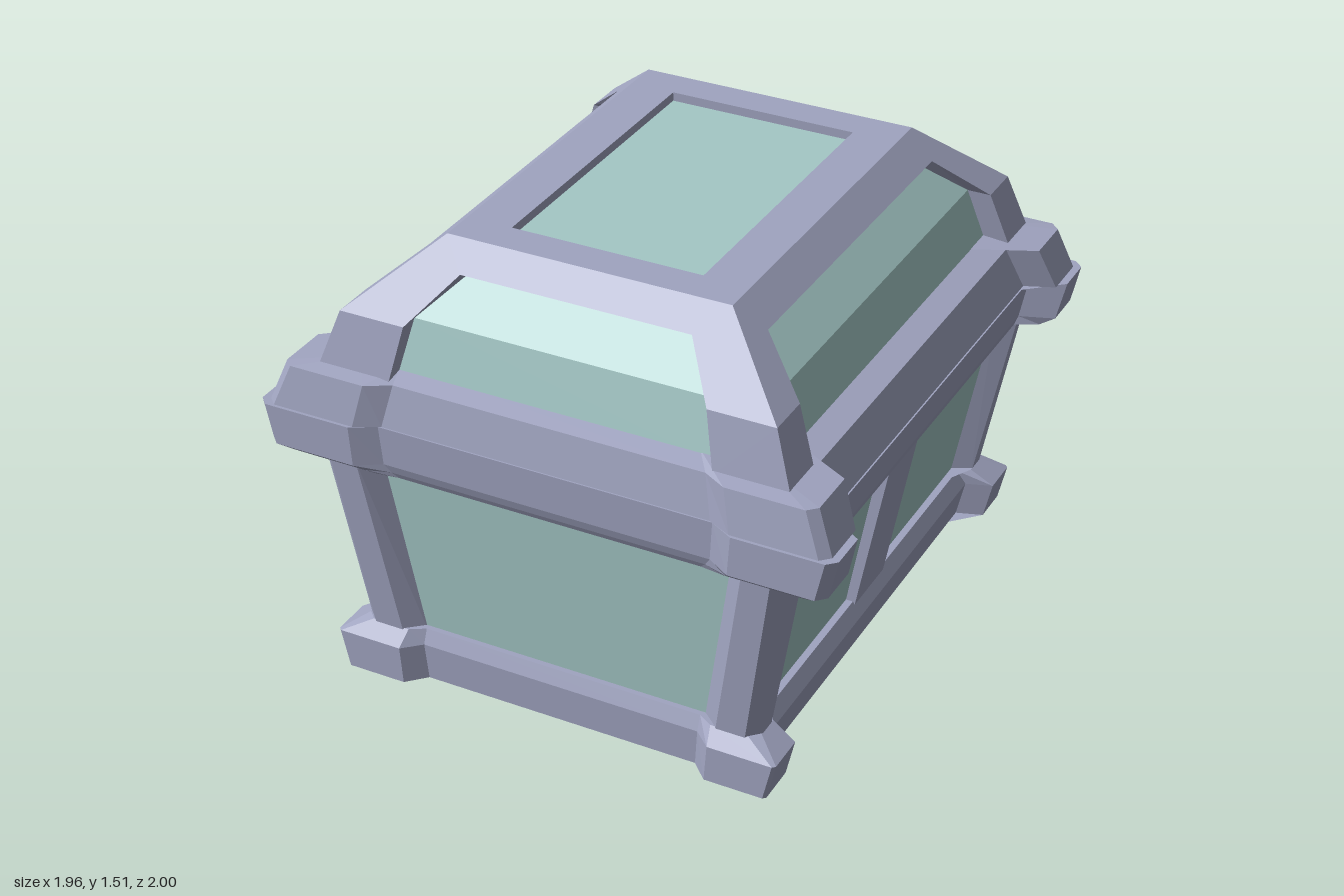
import * as THREE from 'three';

const frameMat = new THREE.MeshStandardMaterial({ color: 0xa0a4c0, flatShading: true, side: THREE.DoubleSide });
const panelMat = new THREE.MeshStandardMaterial({ color: 0xa4c8c6, flatShading: true, side: THREE.DoubleSide });

// Quads between neighbouring polylines; pick chooses which segments to keep
function stripMesh(name, mat, rows, closed = false, pick = () => true) {
  const pos = [];
  for (let r = 0; r + 1 < rows.length; r++) {
    const A = rows[r], B = rows[r + 1], n = A.length;
    for (let i = 0; i < (closed ? n : n - 1); i++) {
      if (!pick(i)) continue;
      const j = (i + 1) % n;
      pos.push(...A[i], ...B[i], ...B[j], ...A[i], ...B[j], ...A[j]);
    }
  }
  const geo = new THREE.BufferGeometry();
  geo.setAttribute('position', new THREE.Float32BufferAttribute(pos, 3));
  geo.computeVertexNormals();
  const mesh = new THREE.Mesh(geo, mat);
  mesh.name = name;
  return mesh;
}

// Plan outline at height y: corner blocks reach (X, Z), the sides between sit back at ix, iz.
// sx, sz: where a block starts; c: corner chamfer; dx, dz: run of the slanted block ends
function outline(y, X, Z, sx, sz, ix, iz, c = 0.03, dx = 0.08, dz = 0.04) {
  const q = [[sx - dx, iz], [sx, Z], [X - c, Z], [X, Z - c], [X, sz], [ix, sz - dz]];
  const rev = [...q].reverse();
  return [
    ...q.map(([x, z]) => [x, y, z]),
    ...rev.map(([x, z]) => [x, y, -z]),
    ...q.map(([x, z]) => [-x, y, -z]),
    ...rev.map(([x, z]) => [-x, y, z]),
  ];
}
const rect = (y, x, z) => outline(y, x, z, 0.8 * x, 0.8 * z, x, z, 0);

// Left half of an arch of [along, y, out] points, completed by mirroring
const arch = (pts) => [
  ...pts.map(([a, y, o]) => [-a, y, o]),
  ...[...pts].reverse().map(([a, y, o]) => [a, y, o]),
];

// One lid side facing +z: outer edge, window edge, recessed window pane
function lidSide(name, outer, open, inner) {
  const g = new THREE.Group();
  g.name = name;
  g.add(stripMesh('lidRibs', frameMat, [arch(outer), arch(open), arch(inner)]));
  const rows = [...inner].reverse().map(([a, y, o]) => [[-a, y, o], [a, y, o]]);
  g.add(stripMesh('lidPane', panelMat, rows));
  return g;
}

export function createModel() {
  const chest = new THREE.Group();
  chest.name = 'chest';

  // Base with corner feet and a recessed underside
  chest.add(stripMesh('base', frameMat, [
    rect(0.18, 0.6, 0.8),
    outline(0.18, 0.7, 0.9, 0.54, 0.79, 0.66, 0.87, 0.03, 0.05, 0.03),
    outline(0.13, 0.78, 0.945, 0.55, 0.8, 0.69, 0.89, 0.01, 0.06, 0.03),
    outline(0, 0.75, 0.945, 0.54, 0.8, 0.66, 0.885, 0.01, 0.06, 0.03),
    rect(0, 0.55, 0.74),
    rect(0.04, 0.55, 0.74),
  ], true));
  const floor = new THREE.Mesh(new THREE.BoxGeometry(1.12, 0.02, 1.5), panelMat);
  floor.name = 'floorPanel';
  floor.position.y = 0.04;
  chest.add(floor);

  // Tapered body: corner posts and the panels between them
  const body = [
    outline(0.82, 0.82, 0.952, 0.665, 0.85, 0.75, 0.89, 0.06, 0.06, 0.04),
    outline(0.15, 0.695, 0.902, 0.555, 0.8, 0.63, 0.85, 0.04, 0.06, 0.035),
  ];
  chest.add(stripMesh('cornerPosts', frameMat, body, true, (i) => i % 6 !== 5));
  chest.add(stripMesh('bodyPanels', panelMat, body, true, (i) => i % 6 === 5));

  // Upright strap in the middle of each long side
  for (const s of [1, -1]) {
    const row = (y, x) => [[x - 0.08, y, 0.113], [x, y, 0.113], [x, y, -0.113], [x - 0.08, y, -0.113]];
    const strap = stripMesh('sideStrap', frameMat, [row(0.8, 0.785), row(0.16, 0.665)]);
    strap.rotation.y = s > 0 ? 0 : Math.PI;
    chest.add(strap);
  }

  // Lower rim
  chest.add(stripMesh('bodyRim', frameMat, [
    rect(0.965, 0.8, 0.9),
    outline(0.965, 0.98, 1.0, 0.65, 0.84, 0.86, 0.955),
    outline(0.83, 0.95, 1.0, 0.64, 0.83, 0.835, 0.95),
    outline(0.8, 0.9, 0.965, 0.62, 0.82, 0.825, 0.94),
    outline(0.78, 0.8, 0.94, 0.6, 0.81, 0.81, 0.93),
    rect(0.78, 0.7, 0.85),
  ], true));

  // Lid rim
  chest.add(stripMesh('lidRim', frameMat, [
    rect(1.125, 0.69, 0.84),
    outline(1.105, 0.9, 0.965, 0.61, 0.765, 0.8, 0.92),
    outline(0.965, 0.955, 0.99, 0.64, 0.8, 0.855, 0.95),
  ], true));

  // Lid sides, each pair built once and turned round
  for (const turn of [0, Math.PI]) {
    const end = lidSide('lidEnd',
      [[0.8, 1.1, 0.915], [0.735, 1.29, 0.875], [0.48, 1.51, 0.65]],
      [[0.55, 1.1, 0.915], [0.51, 1.29, 0.875], [0.39, 1.43, 0.732]],
      [[0.55, 1.1, 0.86], [0.51, 1.29, 0.81], [0.39, 1.41, 0.69]]);
    end.rotation.y = turn;
    const long = lidSide('lidLongSide',
      [[0.915, 1.1, 0.8], [0.875, 1.29, 0.735], [0.65, 1.51, 0.48]],
      [[0.755, 1.1, 0.8], [0.725, 1.29, 0.735], [0.605, 1.43, 0.573]],
      [[0.755, 1.1, 0.715], [0.725, 1.29, 0.655], [0.605, 1.41, 0.516]]);
    long.rotation.y = turn + Math.PI / 2;
    chest.add(end, long);
  }

  // Lid top frame and its sunken pane
  chest.add(stripMesh('lidTopFrame', frameMat,
    [rect(1.48, 0.325, 0.53), rect(1.51, 0.325, 0.53), rect(1.51, 0.48, 0.65)], true));
  const top = new THREE.Mesh(new THREE.BoxGeometry(0.65, 0.02, 1.06), panelMat);
  top.name = 'lidTopPane';
  top.position.y = 1.47;
  chest.add(top);

  // Lock plate with keyhole
  const plate = new THREE.Shape([
    [-0.07, -0.15], [0.07, -0.15], [0.15, -0.08], [0.15, 0.08],
    [0.07, 0.15], [-0.07, 0.15], [-0.15, 0.08], [-0.15, -0.08],
  ].map(([x, y]) => new THREE.Vector2(x, y)));
  plate.holes.push(new THREE.Path([
    [-0.035, -0.1], [-0.025, 0], [-0.055, 0.04], [-0.03, 0.09],
    [0.03, 0.09], [0.055, 0.04], [0.025, 0], [0.035, -0.1],
  ].map(([x, y]) => new THREE.Vector2(x, y))));
  const lockGeo = new THREE.ExtrudeGeometry(plate, {
    depth: 0.09, bevelEnabled: true, bevelThickness: 0.03, bevelSize: 0.03, bevelSegments: 1,
  });
  const lock = new THREE.Mesh(lockGeo, frameMat);
  lock.name = 'lockPlate';
  lock.rotation.y = -Math.PI / 2;
  lock.position.set(-0.81, 0.895, 0);
  chest.add(lock);

  return chest;
}
